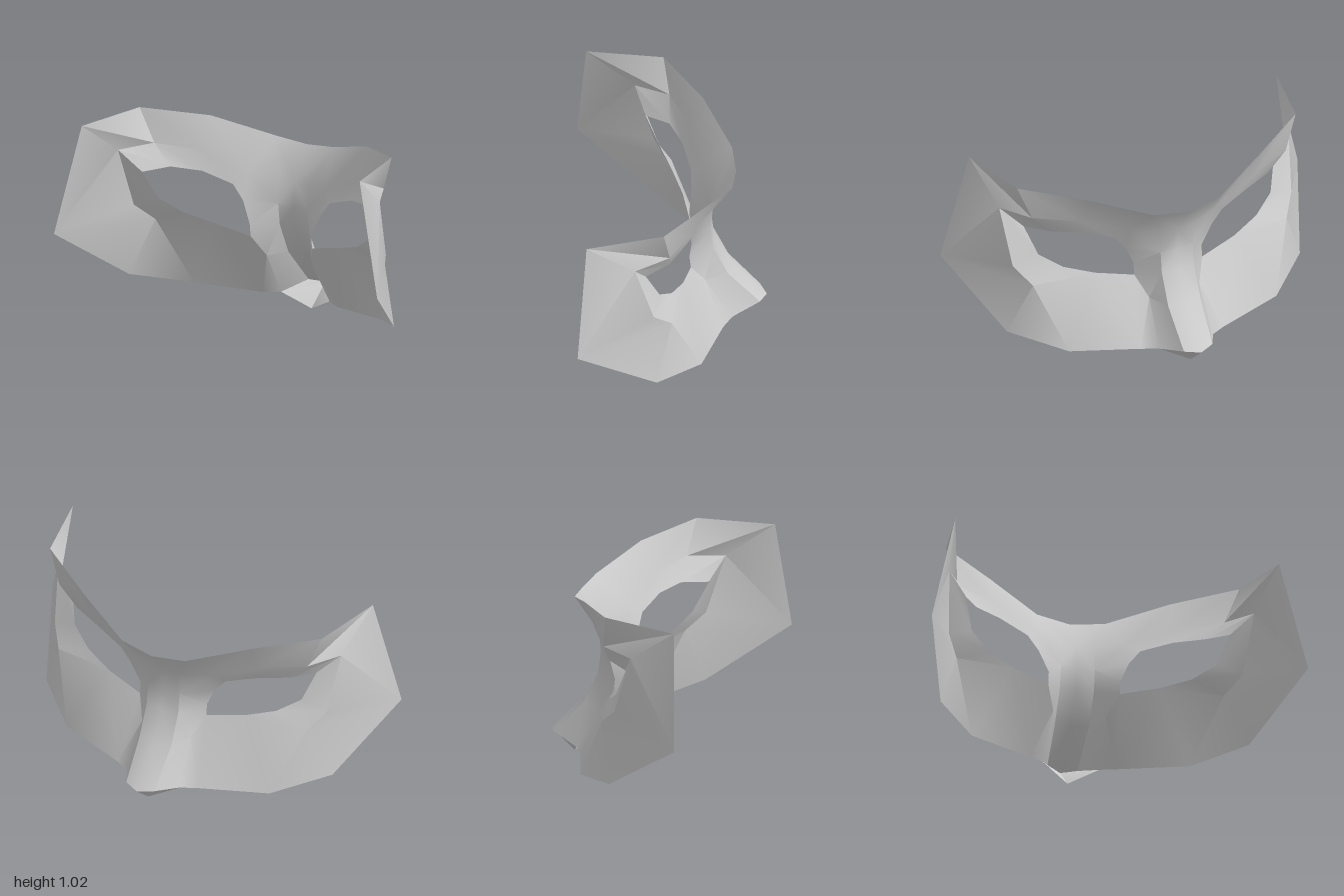
import * as THREE from 'three';
import { toCreasedNormals } from 'three/addons/utils/BufferGeometryUtils.js';

// Named points of one half (x >= 0); the mask's outer side faces -z
const P = {
  // upper edge
  T: [0.86, 1.0, 0.43], A: [0.78, 1.02, 0.04], O2: [0.48, 0.98, -0.16], O3: [0.18, 0.89, -0.305], Oc: [0, 0.87, -0.325],
  // temple and lower edge
  W: [1, 0.42, 0.475], K: [0.82, 0.145, 0.075], R: [0.58, 0.09, -0.15], Q: [0.23, 0.07, -0.26], P: [0.15, 0.075, -0.305],
  // fold around the eye socket
  C: [0.81, 0.825, 0.185], B: [0.71, 0.838, 0.01], M2: [0.48, 0.81, -0.09], M3: [0.24, 0.715, -0.14],
  D: [0.78, 0.52, 0.09], G: [0.71, 0.435, 0],
  // eye opening
  E0: [0.7, 0.715, 0.13], E1: [0.61, 0.73, 0.01], E2: [0.46, 0.717, -0.055], E3: [0.3, 0.665, -0.097], E4: [0.24, 0.59, -0.1],
  E5: [0.19, 0.475, -0.089], E6: [0.19, 0.41, -0.097], E7: [0.39, 0.455, -0.056], E8: [0.54, 0.5, 0], E9: [0.65, 0.57, 0.062],
  // nose side and ridge
  S: [0.14, 0.3, -0.167],
  N0: [0.09, 0.705, -0.205], N1: [0.09, 0.575, -0.195], N2: [0.09, 0.46, -0.21], N3: [0.09, 0.3, -0.285], N4: [0.08, 0.12, -0.445],
  C0: [0, 0.7, -0.215], C1: [0, 0.57, -0.2], C2: [0, 0.46, -0.22], C3: [0, 0.3, -0.31], C4: [0, 0.112, -0.48],
  C5: [0, 0, -0.36],
};

// Each part is a list of faces, corners ordered around the outer side
const parts = {
  brow: 'A B M2 O2, O2 M2 M3 O3, O3 M3 N0, O3 N0 C0 Oc',
  eyeSocket: 'C E0 E1 B, B E1 E2 M2, M2 E2 E3 M3, E8 E9 D G, E9 E0 C D',
  temple: 'T C B A, C T W, C W D, D W G',
  cheek: 'G W K, G K R, E7 G R, E7 E8 G, E7 R Q, E6 E7 Q, S E6 Q P',
  nose: 'M3 E3 E4, M3 E4 N1 N0, N1 E4 E5 N2, N2 E5 E6, N2 E6 S N3, N3 S P N4, ' +
    'C0 N0 N1 C1, C1 N1 N2 C2, C2 N2 N3 C3, C3 N3 N4 C4',
  noseUnderside: 'C4 N4 P C5',
};

export function createModel() {
  const group = new THREE.Group();
  group.name = 'eyeMask';
  const grey = new THREE.MeshStandardMaterial({ color: 0xcccccc, side: THREE.DoubleSide });
  grey.name = 'light grey';

  // Fan each face into triangles and mirror it to the other half
  const positions = [];
  for (const faces of Object.values(parts)) {
    for (const face of faces.split(', ')) {
      const c = face.split(' ').map((n) => P[n]);
      for (let i = 1; i < c.length - 1; i++) {
        const tri = [c[0], c[i], c[i + 1]];
        for (const p of tri) positions.push(...p);
        for (const [x, y, z] of tri.reverse()) positions.push(-x, y, z);
      }
    }
  }
  const geometry = new THREE.BufferGeometry();
  geometry.setAttribute('position', new THREE.Float32BufferAttribute(positions, 3));

  const mesh = new THREE.Mesh(toCreasedNormals(geometry, THREE.MathUtils.degToRad(38)), grey);
  mesh.name = 'maskShell';
  group.add(mesh);
  return group;
}
